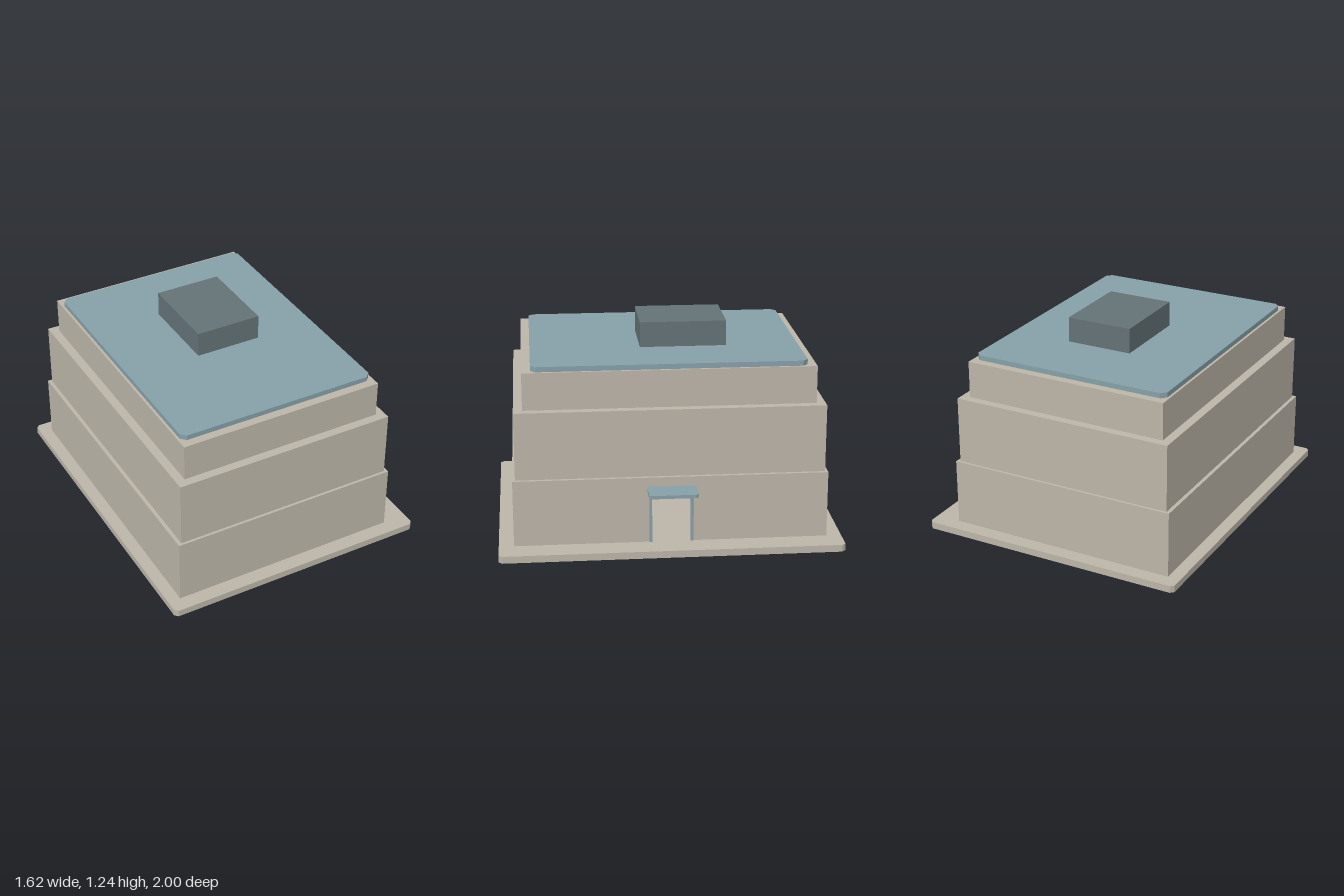
import * as THREE from 'three';

const flat = (name, color) => {
  const m = new THREE.MeshStandardMaterial({ color });
  m.name = name;
  return m;
};

export function createModel() {
  const model = new THREE.Group();
  model.name = 'steppedBuilding';
  const stone = flat('stone', 0xbcb5a8);
  const blue = flat('paleBlue', 0x86a0a9);
  const grey = flat('slateGrey', 0x647276);

  const add = (name, geometry, material) => {
    const mesh = new THREE.Mesh(geometry, material);
    mesh.name = name;
    model.add(mesh);
    return mesh;
  };

  // Box given by its limits on each axis
  const box = (name, [x0, x1], [y0, y1], [z0, z1], material) => {
    const g = new THREE.BoxGeometry(x1 - x0, y1 - y0, z1 - z0);
    g.translate((x0 + x1) / 2, (y0 + y1) / 2, (z0 + z1) / 2);
    return add(name, g, material);
  };

  // Flat slab with cut corners
  const slab = (name, [x0, x1], [y0, y1], z, c, material) => {
    const outline = [
      [x0 + c, -z], [x1 - c, -z], [x1, -z + c], [x1, z - c],
      [x1 - c, z], [x0 + c, z], [x0, z - c], [x0, -z + c],
    ].map(([x, y]) => new THREE.Vector2(x, y));
    const g = new THREE.ExtrudeGeometry(new THREE.Shape(outline), { depth: y1 - y0, bevelEnabled: false });
    g.rotateX(-Math.PI / 2).translate(0, y0, 0);
    return add(name, g, material);
  };

  slab('base', [-0.81, 0.81], [0, 0.042], 1, 0.02, stone);

  // Hollow ground floor
  const floor = 0.042, top = 0.437, t = 0.03;
  const x0 = -0.735, x1 = 0.66, zw = 0.912;
  box('frontWall', [x0, x1], [floor, top], [zw - t, zw], stone);
  box('backWall', [x0, x1], [floor, top], [-zw, -zw + t], stone);
  box('rightWall', [x0, x0 + t], [floor, top], [-zw + t, zw - t], stone);

  // Entrance wall with a doorway cut up from the floor
  const w = zw - t, d = 0.125, head = 0.36;
  const wall = new THREE.Shape([
    [-w, floor], [-d, floor], [-d, head], [d, head],
    [d, floor], [w, floor], [w, top], [-w, top],
  ].map(([x, y]) => new THREE.Vector2(x, y)));
  const wallGeometry = new THREE.ExtrudeGeometry(wall, { depth: t, bevelEnabled: false });
  wallGeometry.rotateY(Math.PI / 2).translate(x1 - t, 0, 0);
  add('entranceWall', wallGeometry, stone);

  // Upper storeys, each stepping in
  box('middleStorey', [-0.713, 0.64], [top, 0.837], [-0.896, 0.896], stone);
  box('upperStorey', [-0.66, 0.588], [0.837, 1.057], [-0.844, 0.844], stone);

  // Roof
  slab('roof', [-0.645, 0.573], [1.057, 1.087], 0.793, 0.03, blue);
  box('roofBlock', [-0.2, 0.2], [1.087, 1.237], [-0.365, 0.145], grey);

  // Doorway
  for (const s of [-1, 1]) {
    const z = [s * 0.113, s * 0.128].sort((a, b) => a - b);
    box('doorPost', [0.638, 0.67], [floor, 0.36], z, blue);
  }
  box('doorLintel', [0.638, 0.695], [0.34, 0.361], [-0.113, 0.113], stone);
  slab('canopy', [0.658, 0.81], [0.361, 0.381], 0.141, 0.01, blue);

  return model;
}
